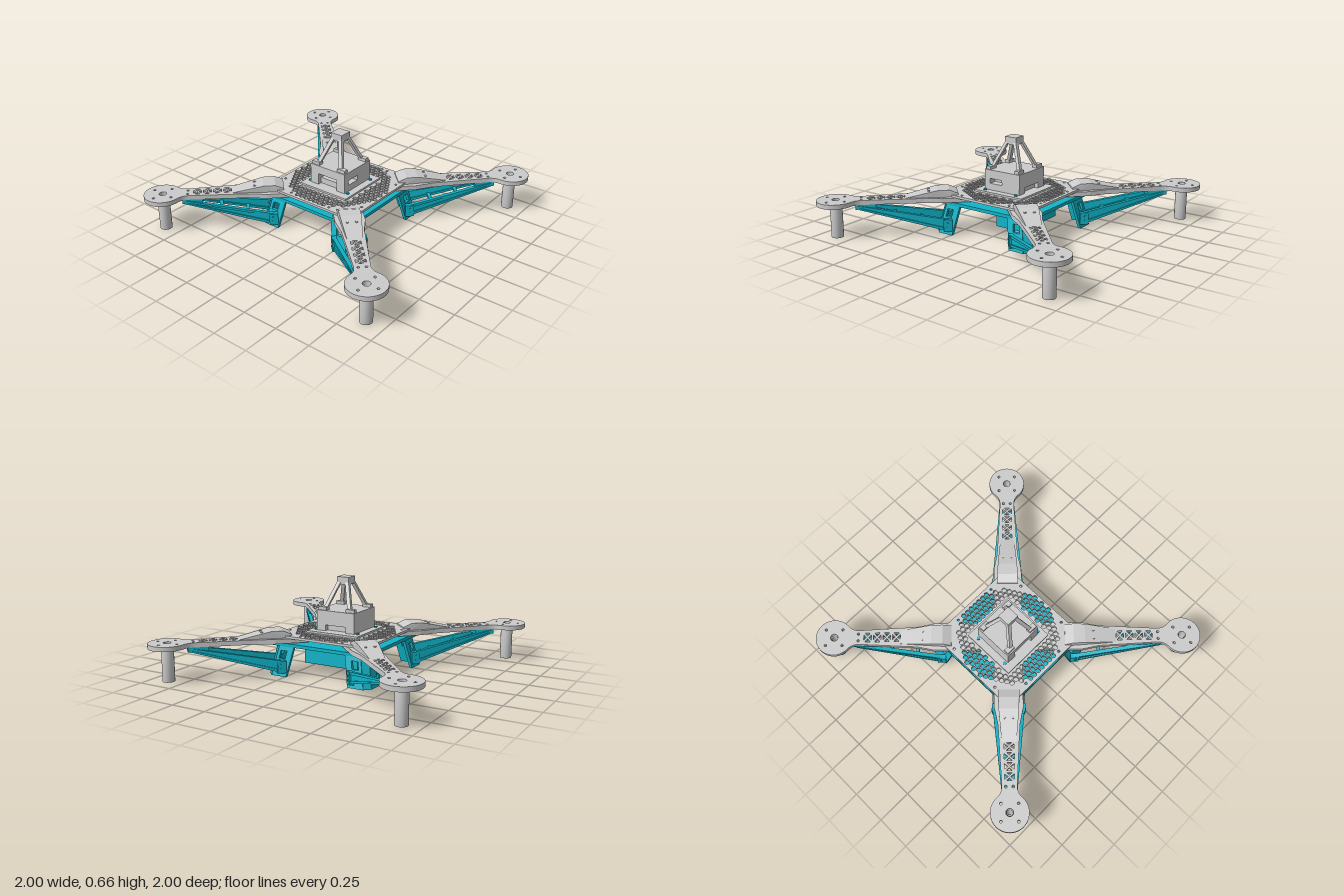
import * as THREE from 'three';
import { ConvexGeometry } from 'three/addons/geometries/ConvexGeometry.js';

const grey = new THREE.MeshStandardMaterial({ color: 0xcccccc });
const teal = new THREE.MeshStandardMaterial({ color: 0x10b5c9 });

function add(parent, name, geometry, material = grey) {
  const mesh = new THREE.Mesh(geometry, material);
  mesh.name = name;
  parent.add(mesh);
  return mesh;
}
// Box given by its limits
function box(parent, name, x0, x1, y0, y1, z0, z1, material) {
  const g = new THREE.BoxGeometry(x1 - x0, y1 - y0, z1 - z0);
  return add(parent, name, g.translate((x0 + x1) / 2, (y0 + y1) / 2, (z0 + z1) / 2), material);
}
// Convex solid through corner points
function hull(parent, name, points, material) {
  return add(parent, name, new ConvexGeometry(points.map((p) => new THREE.Vector3(...p))), material);
}
function rod(parent, name, x, z, y0, y1, r, material) {
  return add(parent, name, new THREE.CylinderGeometry(r, r, y1 - y0, 16).translate(x, (y0 + y1) / 2, z), material);
}
// Plan outline raised from y0 to y1 (shape y becomes -z)
function slab(shape, y0, y1, segments = 24) {
  const g = new THREE.ExtrudeGeometry(shape, { depth: y1 - y0, bevelEnabled: false, curveSegments: segments });
  return g.rotateX(-Math.PI / 2).translate(0, y0, 0);
}
function polygon(points, Type = THREE.Shape) {
  return new Type(points.map(([x, y]) => new THREE.Vector2(x, y)));
}
const square = (s) => polygon([[-s, -s], [s, -s], [s, s], [-s, s]]);
function roundHole(shape, x, y, r) {
  const hole = new THREE.Path();
  hole.absarc(x, y, r, 0, Math.PI * 2, true);
  shape.holes.push(hole);
}

// Arm and motor pad in one outline, pointing along +x
function armShape() {
  const s = new THREE.Shape();
  const a = Math.PI - 0.7, c = 1.23, R = 0.13;
  const ex = c + R * Math.cos(a), ey = R * Math.sin(a);
  s.moveTo(0.2, -0.1);
  s.lineTo(0.52, -0.1);
  s.lineTo(0.64, -0.075);
  s.lineTo(1.05, -0.052);
  s.quadraticCurveTo(1.1, -0.05, ex, -ey);
  s.absarc(c, 0, R, -a, a, false);
  s.quadraticCurveTo(1.1, 0.05, 1.05, 0.052);
  s.lineTo(0.64, 0.075);
  s.lineTo(0.52, 0.1);
  s.lineTo(0.2, 0.1);
  // Motor shaft and screw holes
  roundHole(s, c, 0, 0.026);
  for (let i = 0; i < 4; i++) {
    const t = Math.PI / 4 + i * Math.PI / 2;
    roundHole(s, c + 0.083 * Math.cos(t), 0.083 * Math.sin(t), 0.009);
  }
  for (const y of [-0.025, 0.025]) roundHole(s, 1.06, y, 0.009);
  // Crossed lightening cut-outs
  for (let i = 0; i < 4; i++) {
    const x = 0.79 + i * 0.068, h = 0.027, w = 0.034, g = 0.008;
    for (const d of [-1, 1]) {
      s.holes.push(polygon([[x + d * g, 0], [x + d * h, h - g], [x + d * h, g - h]], THREE.Path));
      s.holes.push(polygon([[x, d * g], [x + h - g, d * w], [x - h + g, d * w]], THREE.Path));
    }
  }
  return s;
}

function buildArm() {
  const arm = new THREE.Group();
  add(arm, 'armAndMotorPad', slab(armShape(), 0.233, 0.265));
  // Raised root fairing
  const fairing = [];
  for (const s of [-1, 1]) {
    fairing.push([0.4, 0.24, s * 0.075], [0.4, 0.29, s * 0.075], [0.46, 0.315, s * 0.072],
      [0.54, 0.315, s * 0.07], [0.76, 0.265, s * 0.05], [0.76, 0.24, s * 0.05]);
  }
  hull(arm, 'armRootFairing', fairing);
  for (const s of [-1, 1]) rod(arm, 'fairingBolt', 0.6, s * 0.03, 0.28, 0.307, 0.009);
  // Hollow post under the motor pad
  const ring = [[0.02, 0], [0.042, 0], [0.042, 0.235], [0.02, 0.235], [0.02, 0]];
  add(arm, 'motorPost', new THREE.LatheGeometry(ring.map((p) => new THREE.Vector2(...p)), 28).translate(1.23, 0, 0));
  return arm;
}

function buildLeg() {
  const leg = new THREE.Group();
  // Angled corner foot: two windowed walls and a chamfer, leaning outward
  const top = 0.21, k = Math.SQRT1_2;
  const place = (x, y, z) => {
    const lean = 0.042 * (top - y) / top;
    return [(x + z + 2 * lean) * k, y, (z - x) * k];
  };
  const bars = [[0.2, 0.245, 0, top], [0.295, 0.318, 0, top], [0.245, 0.295, 0, 0.12], [0.245, 0.295, 0.175, top]];
  for (const [u0, u1, y0, y1] of bars) {
    const a = [], b = [];
    for (const u of [u0, u1]) for (const y of [y0, y1]) for (const d of [0.338, 0.36]) {
      a.push(place(u, y, d));
      b.push(place(d, y, u));
    }
    hull(leg, 'footWall', a, teal);
    hull(leg, 'footWall', b, teal);
  }
  const chamfer = [];
  for (const y of [0, top]) for (const [p, q] of [[0.315, 0.36], [0.305, 0.338]]) {
    chamfer.push(place(p, y, q), place(q, y, p));
  }
  hull(leg, 'footChamfer', chamfer, teal);

  // Strut rails: a thin web with wider top and bottom flanges
  for (const s of [-1, 1]) {
    const rail = (name, a0, a1, b0, b1, t) => {
      const pts = [];
      for (const d of [-t, t]) {
        pts.push([0.47, a0, s * 0.1 + d], [0.47, a1, s * 0.1 + d], [1.08, b0, s * 0.04 + d], [1.08, b1, s * 0.04 + d]);
      }
      hull(leg, name, pts, teal);
    };
    rail('strutWeb', 0.04, 0.11, 0.203, 0.222, 0.005);
    rail('strutTopFlange', 0.095, 0.115, 0.212, 0.226, 0.014);
    rail('strutBottomFlange', 0.03, 0.05, 0.2, 0.212, 0.014);
    // Bolted bracket at the foot
    box(leg, 'strutBracket', 0.45, 0.51, 0.03, 0.115, s * 0.1 - 0.017, s * 0.1 + 0.017, teal);
    for (const y of [0.06, 0.09]) {
      const bolt = new THREE.CylinderGeometry(0.007, 0.007, 0.044, 10).rotateX(Math.PI / 2);
      add(leg, 'bracketBolt', bolt.translate(0.485, y, s * 0.1), teal);
    }
  }
  // Cross ties and tip pad
  for (const t of [0.3, 0.6]) {
    const x = 0.47 + 0.61 * t, y = 0.04 + 0.166 * t, w = 0.1 - 0.06 * t;
    box(leg, 'strutTie', x - 0.012, x + 0.012, y, y + 0.015, -w, w, teal);
  }
  box(leg, 'strutTip', 0.96, 1.1, 0.2, 0.235, -0.05, 0.05, teal);
  return leg;
}

function buildBody() {
  const body = new THREE.Group();
  body.name = 'body';
  add(body, 'lowerPlate', slab(square(0.368), 0.205, 0.228), teal);

  // Upper plate with honeycomb vents
  const plate = square(0.368);
  const px = 0.038, pz = 0.033;
  for (let j = -10; j <= 10; j++) for (let i = -10; i <= 10; i++) {
    const x = (i + (Math.abs(j) % 2) / 2) * px, z = j * pz;
    const ax = Math.abs(x), az = Math.abs(z), big = Math.max(ax, az), small = Math.min(ax, az);
    const vented = big > 0.215 && (big < 0.305 || (big < 0.345 && small < 0.13));
    if (!vented || (big - small < 0.12 && ax + az > 0.5)) continue;
    const hex = [];
    for (let n = 0; n < 6; n++) {
      const t = Math.PI / 6 + n * Math.PI / 3;
      hex.push([x + 0.0175 * Math.cos(t), z + 0.0175 * Math.sin(t)]);
    }
    plate.holes.push(polygon(hex, THREE.Path));
  }
  for (const x of [-1, 1]) for (const z of [-1, 1]) {
    roundHole(plate, x * 0.335, z * 0.2, 0.009);
    roundHole(plate, x * 0.165, z * 0.335, 0.009);
  }
  add(body, 'upperPlate', slab(plate, 0.263, 0.28, 10));

  // Battery and standoffs underneath
  box(body, 'batteryBox', -0.21, 0.21, 0.065, 0.206, -0.21, 0, teal);
  for (const x of [-0.125, 0.16]) for (const z of [0.07, 0.24]) rod(body, 'standoff', x, z, 0.13, 0.206, 0.014, teal);
  return body;
}

function buildTower() {
  const tower = new THREE.Group();
  tower.name = 'tower';
  box(tower, 'towerBase', -0.2, 0.2, 0.275, 0.293, -0.2, 0.2);
  for (const x of [-0.165, 0.165]) for (const z of [-0.13, 0.13]) rod(tower, 'baseBolt', x, z, 0.28, 0.3, 0.012, teal);
  // Housing with an opening at the front and one on its left side
  const plan = [[-0.148, -0.145], [-0.08, -0.145], [-0.08, -0.08], [0.08, -0.08], [0.08, -0.145], [0.148, -0.145],
    [0.148, -0.1], [0.09, -0.1], [0.09, 0], [0.148, 0], [0.148, 0.148], [-0.148, 0.148]];
  box(tower, 'housingPlinth', -0.148, 0.148, 0.29, 0.335, -0.115, 0.115);
  add(tower, 'housingWalls', slab(polygon(plan), 0.335, 0.375));
  box(tower, 'housingTop', -0.148, 0.148, 0.375, 0.436, -0.148, 0.145);
  for (const s of [-1, 1]) box(tower, 'housingPillar', s * 0.114 - 0.034, s * 0.114 + 0.034, 0.29, 0.34, -0.145, 0.145);
  // Four converging posts carrying the cap
  for (const sx of [-1, 1]) for (const sz of [-1, 1]) {
    const post = [];
    for (const u of [-0.014, 0.014]) for (const v of [-0.012, 0.012]) {
      post.push([sx * 0.1 + u, 0.435, sz * 0.118 + v], [sx * 0.032 + u, 0.625, sz * 0.034 + v]);
    }
    hull(tower, 'capPost', post);
    box(tower, 'postFoot', sx * 0.108 - 0.032, sx * 0.108 + 0.032, 0.435, 0.458, sz * 0.118 - 0.018, sz * 0.118 + 0.018);
  }
  box(tower, 'cap', -0.046, 0.046, 0.61, 0.662, -0.046, 0.046);
  return tower;
}

export function createModel() {
  const model = new THREE.Group();
  model.name = 'quadcopterFrame';
  model.add(buildBody(), buildTower());
  for (let i = 0; i < 4; i++) {
    const corner = new THREE.Group();
    corner.name = 'cornerAssembly';
    const arm = buildArm(), leg = buildLeg();
    arm.name = 'arm';
    leg.name = 'leg';
    corner.add(arm, leg);
    corner.rotation.y = Math.PI / 4 + i * Math.PI / 2;
    model.add(corner);
  }
  return model;
}
